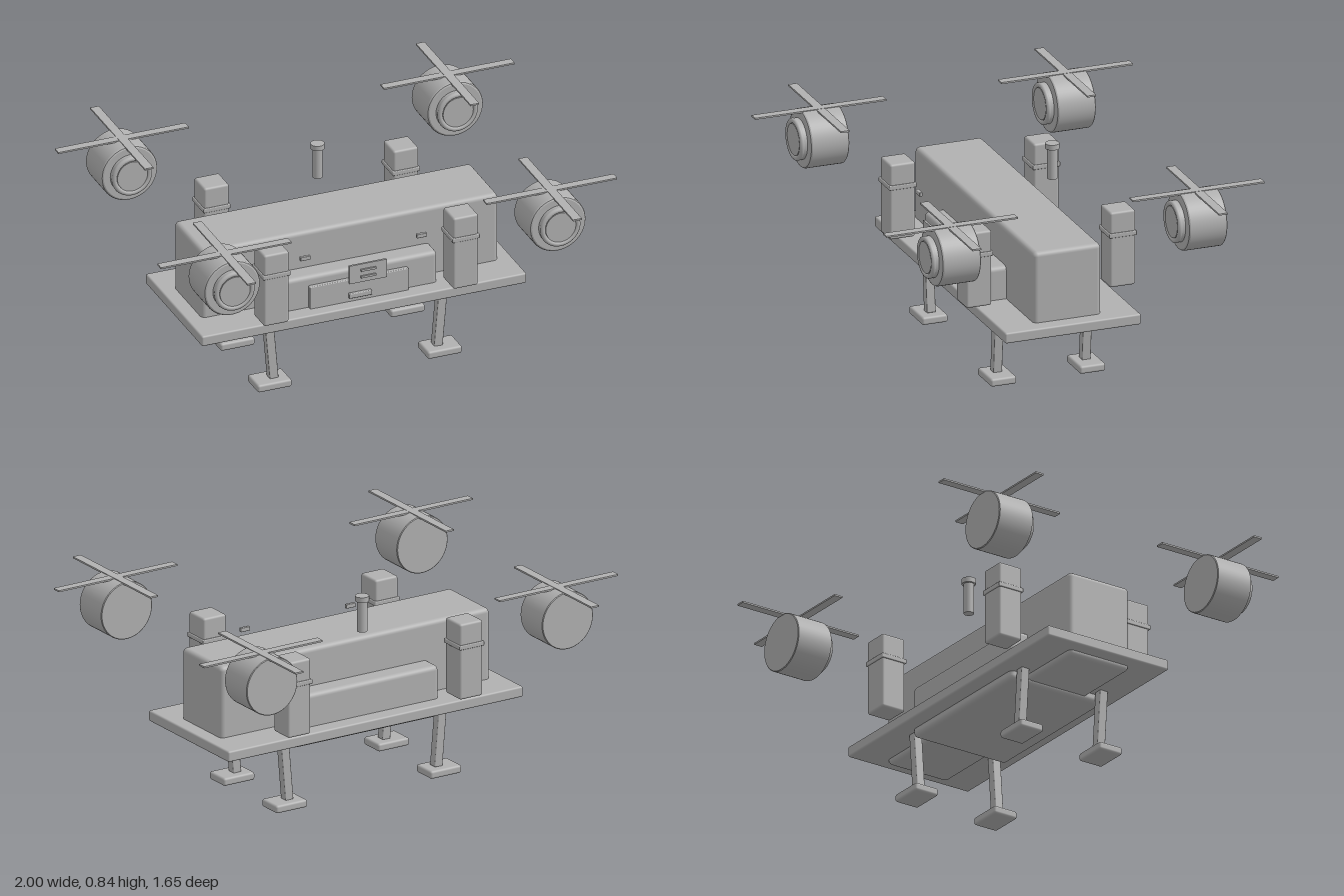
import * as THREE from 'three';
import { RoundedBoxGeometry } from 'three/addons/geometries/RoundedBoxGeometry.js';

export function createModel() {
  const model = new THREE.Group();
  model.name = 'quadDrone';
  const grey = new THREE.MeshStandardMaterial({ color: 0xb0b0b0 });
  grey.name = 'grey';

  const add = (parent, name, geometry, x, y, z) => {
    const mesh = new THREE.Mesh(geometry, grey);
    mesh.name = name;
    mesh.position.set(x, y, z);
    parent.add(mesh);
    return mesh;
  };
  // Box given by its size and centre, with rounded edges when r > 0
  const box = (parent, name, w, h, d, x, y, z, r = 0) => add(parent, name,
    r ? new RoundedBoxGeometry(w, h, d, 3, r) : new THREE.BoxGeometry(w, h, d), x, y, z);

  // Hull: long body, wide low block and flat deck
  box(model, 'body', 1.3, 0.37, 0.294, 0, 0.455, -0.002, 0.02);
  box(model, 'lowerBlock', 0.7, 0.222, 0.455, 0, 0.366, -0.003, 0.02);
  box(model, 'deck', 1.424, 0.046, 0.592, 0, 0.313, -0.002, 0.008);

  // Front hatch with handle
  box(model, 'frontHatch', 0.432, 0.13, 0.03, 0, 0.37, 0.228, 0.004);
  box(model, 'hatchHandle', 0.1, 0.022, 0.016, 0, 0.366, 0.25, 0.004);

  // Floating front plate with two bars
  box(model, 'frontPlate', 0.164, 0.082, 0.009, 0, 0.508, 0.329);
  for (const y of [0.492, 0.522]) box(model, 'plateBar', 0.066, 0.009, 0.008, 0, y, 0.337);

  // Mast behind the body
  add(model, 'mast', new THREE.CylinderGeometry(0.021, 0.021, 0.135, 24), 0, 0.752, -0.196);
  add(model, 'mastCap', new THREE.CylinderGeometry(0.029, 0.029, 0.022, 24), 0, 0.826, -0.196);

  for (const sx of [-1, 1]) {
    box(model, 'frontMarker', 0.045, 0.018, 0.014, sx * 0.255, 0.598, 0.282, 0.003);
    for (const sz of [-1, 1]) {
      // Upright pod with a band
      const px = sx * 0.415, pz = sz * 0.313 - 0.002;
      box(model, 'pod', 0.11, 0.325, 0.11, px, 0.529, pz, 0.01);
      box(model, 'podBand', 0.12, 0.02, 0.12, px, 0.592, pz, 0.004);

      // Slanted leg and foot
      const leg = box(model, 'leg', 0.038, 0.265, 0.038, sx * 0.371, 0.165, sz * 0.193, 0.004);
      leg.rotation.z = -sx * 0.085;
      box(model, 'foot', 0.15, 0.034, 0.112, sx * 0.373, 0.018, sz * 0.194, 0.01);
      model.add(createRotor(sx * 0.714, sz * 0.537 - 0.003));
    }
  }

  // Forward-facing motor drum, lens ring and crossed blades
  function createRotor(x, z) {
    const rotor = new THREE.Group();
    rotor.name = 'rotor';
    rotor.position.set(x, 0.717, z);
    const profile = [[0, -0.084], [0.12, -0.084], [0.123, -0.081], [0.123, 0.075],
      [0.12, 0.081], [0.114, 0.084], [0, 0.084]].map(([r, h]) => new THREE.Vector2(r, h));
    // Separate bands between profile points keep the drum edges sharp
    for (let i = 0; i < profile.length - 1; i++) {
      const band = add(rotor, 'motorDrum', new THREE.LatheGeometry([profile[i], profile[i + 1]], 48), 0, 0, 0);
      band.rotation.x = Math.PI / 2;
    }
    const barrel = add(rotor, 'lensBarrel', new THREE.CylinderGeometry(0.086, 0.086, 0.022, 48), 0, 0, 0.092);
    barrel.rotation.x = Math.PI / 2;
    add(rotor, 'lensRing', new THREE.TorusGeometry(0.077, 0.011, 12, 48), 0, 0, 0.104);
    const lens = add(rotor, 'lens', new THREE.CylinderGeometry(0.066, 0.066, 0.03, 48), 0, 0, 0.097);
    lens.rotation.x = Math.PI / 2;
    box(rotor, 'bladeAcross', 0.572, 0.007, 0.038, 0, 0.1195, 0);
    box(rotor, 'bladeAlong', 0.038, 0.007, 0.572, 0, 0.1205, 0);
    return rotor;
  }

  return model;
}
